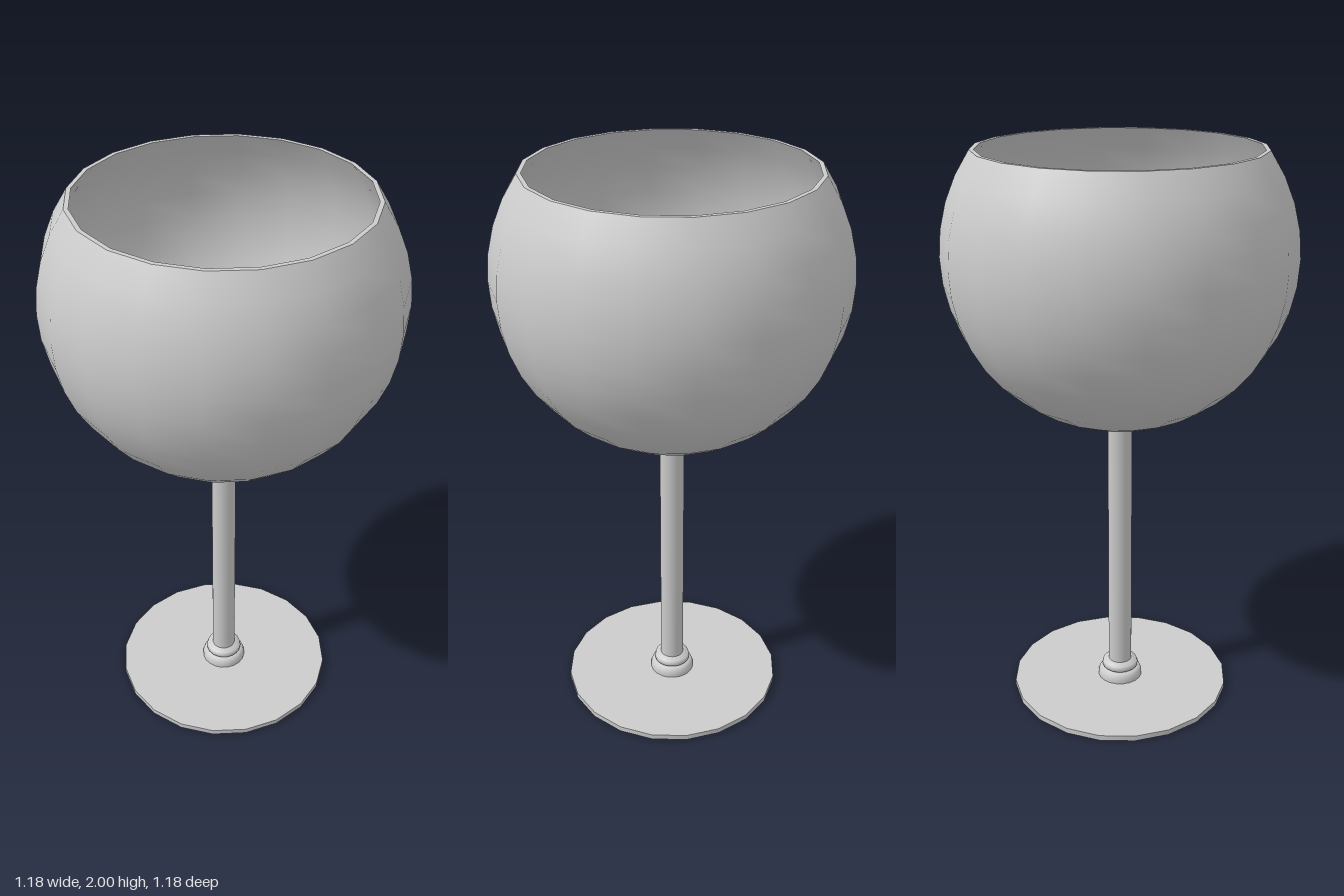
import * as THREE from 'three';

const SIDES = 20;
const material = new THREE.MeshStandardMaterial({ color: 0xcccccc });

function addLathe(parent, name, points) {
  const profile = points.map(([r, y]) => new THREE.Vector2(r, y));
  const mesh = new THREE.Mesh(new THREE.LatheGeometry(profile, SIDES), material);
  mesh.name = name;
  parent.add(mesh);
}

// Points on a sphere's side, from height y0 to height y1
function sphereArc(radius, centerY, y0, y1, steps) {
  const a0 = Math.asin(Math.max(-1, (y0 - centerY) / radius));
  const a1 = Math.asin((y1 - centerY) / radius);
  return Array.from({ length: steps + 1 }, (_, i) => {
    const a = a0 + ((a1 - a0) * i) / steps;
    return [Math.max(0, radius * Math.cos(a)), centerY + radius * Math.sin(a)];
  });
}

export function createModel() {
  const glass = new THREE.Group();
  glass.name = 'wineGlass';

  // Bowl: pointed where it meets the stem, open at the top
  const bowl = new THREE.Group();
  bowl.name = 'bowl';
  const outer = [[0.043, 1.05], ...sphereArc(0.59, 1.655, 1.1, 2, 12)];
  const inner = sphereArc(0.575, 1.66, 1.085, 2, 14).reverse();
  addLathe(bowl, 'bowlOutside', outer);
  addLathe(bowl, 'bowlRim', [outer[outer.length - 1], inner[0]]);
  addLathe(bowl, 'bowlInside', inner);
  glass.add(bowl);

  // Stem
  const stem = new THREE.Mesh(new THREE.CylinderGeometry(0.043, 0.043, 1.04, SIDES), material);
  stem.name = 'stem';
  stem.position.y = 0.54;
  glass.add(stem);

  // Two rounded steps around the foot of the stem
  addLathe(glass, 'lowerCollar', [[0.082, 0.02], [0.082, 0.032], [0.078, 0.045], [0.07, 0.054], [0.05, 0.058]]);
  addLathe(glass, 'upperCollar', [[0.058, 0.055], [0.066, 0.062], [0.067, 0.072], [0.063, 0.083], [0.043, 0.09]]);

  // Flat foot
  const foot = new THREE.Mesh(new THREE.CylinderGeometry(0.4, 0.4, 0.02, SIDES), material);
  foot.name = 'foot';
  foot.position.y = 0.01;
  glass.add(foot);

  return glass;
}
